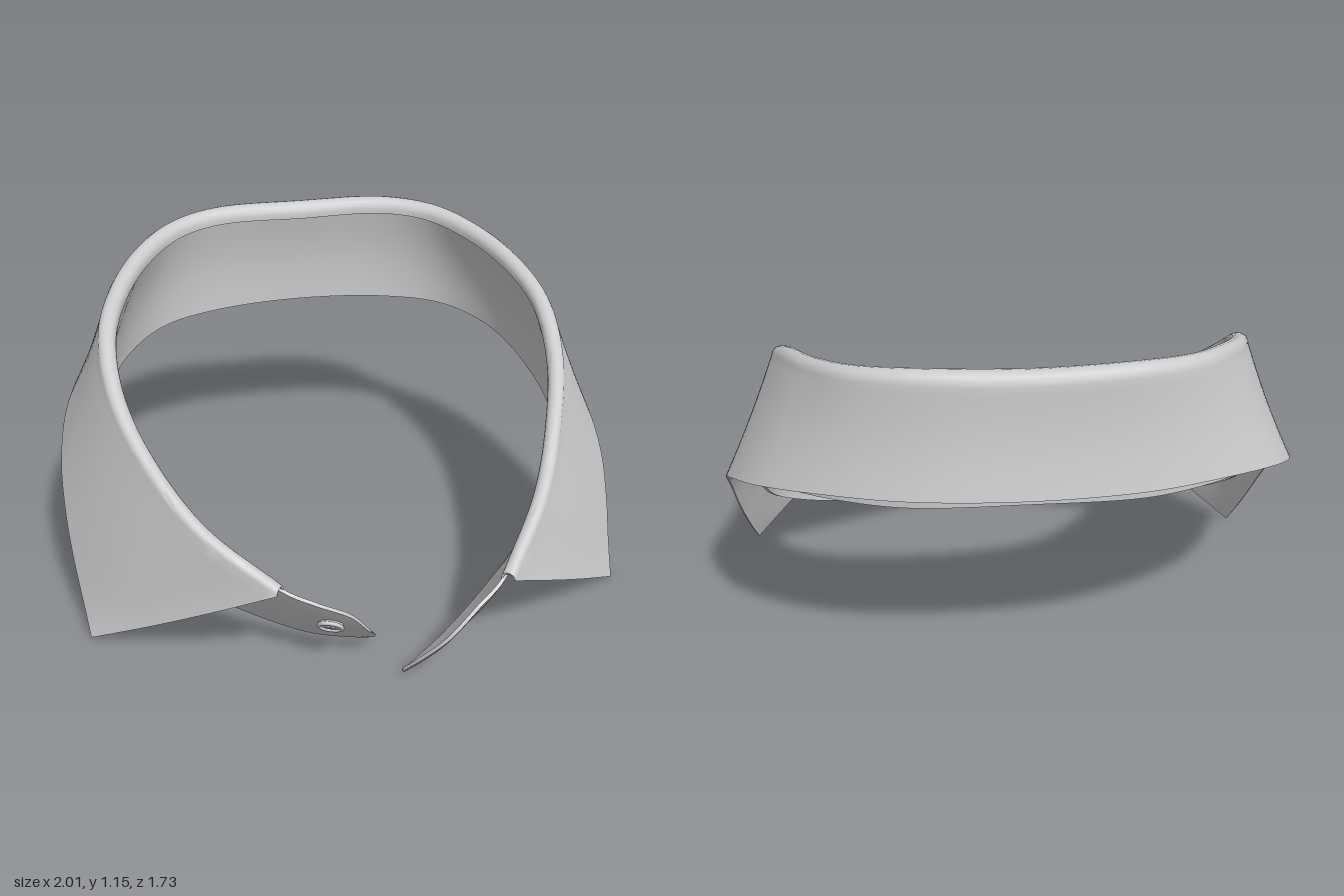
import * as THREE from 'three';
import { toCreasedNormals } from 'three/addons/utils/BufferGeometryUtils.js';

const V = (x, y, z) => new THREE.Vector3(x, y, z);
const material = new THREE.MeshStandardMaterial({ color: 0xcccccc, roughness: 0.8, side: THREE.DoubleSide });

// Stations from the nape to the front: fold line, hem of the leaf, lower edge of the stand
const nape = [
  [[0, 1.15, -0.79], [0, 0.765, -0.865], [0, 0.73, -0.815]],
];
const leftSide = [
  [[0.33, 1.153, -0.765], [0.36, 0.765, -0.835], [0.36, 0.72, -0.785]],
  [[0.51, 1.136, -0.68], [0.62, 0.75, -0.735], [0.58, 0.708, -0.69]],
  [[0.64, 1.10, -0.51], [0.825, 0.695, -0.555], [0.73, 0.665, -0.53]],
  [[0.725, 1.05, -0.29], [0.94, 0.61, -0.325], [0.82, 0.585, -0.33]],
  [[0.768, 0.978, -0.09], [0.99, 0.50, -0.10], [0.865, 0.472, -0.12]],
  [[0.755, 0.86, 0.12], [1.0, 0.375, 0.06], [0.84, 0.34, 0.05]],
  [[0.69, 0.73, 0.32], [0.993, 0.24, 0.165], [0.71, 0.225, 0.215]],
  [[0.57, 0.57, 0.56], [0.975, 0.105, 0.265], [0.54, 0.14, 0.36]],
  [[0.39, 0.41, 0.785], [0.96, 0.005, 0.35], [0.36, 0.065, 0.50]],
];
const rightSide = [
  [[0.33, 1.153, -0.765], [0.36, 0.765, -0.835], [0.36, 0.72, -0.785]],
  [[0.51, 1.136, -0.68], [0.62, 0.75, -0.735], [0.58, 0.708, -0.69]],
  [[0.65, 1.10, -0.51], [0.835, 0.695, -0.56], [0.735, 0.665, -0.53]],
  [[0.748, 1.045, -0.305], [0.95, 0.61, -0.345], [0.83, 0.585, -0.33]],
  [[0.797, 0.978, -0.105], [0.995, 0.50, -0.11], [0.88, 0.472, -0.13]],
  [[0.79, 0.86, 0.10], [0.997, 0.365, 0.05], [0.85, 0.335, 0.03]],
  [[0.725, 0.73, 0.29], [0.985, 0.235, 0.15], [0.72, 0.22, 0.185]],
  [[0.57, 0.56, 0.53], [0.965, 0.10, 0.245], [0.53, 0.135, 0.33]],
  [[0.34, 0.41, 0.71], [0.95, 0.005, 0.32], [0.33, 0.075, 0.44]],
];
// Rounded tabs of the stand beyond the leaf: upper and lower edge
const leftTab = [
  [[0.28, 0.335, 0.835], [0.25, 0.035, 0.585]],
  [[0.18, 0.24, 0.857], [0.15, 0.025, 0.665]],
  [[0.10, 0.12, 0.80], [0.09, 0.02, 0.71]],
  [[0.06, 0.035, 0.74], [0.065, 0.02, 0.73]],
];
const rightTab = [
  [[0.23, 0.35, 0.74], [0.20, 0.05, 0.50]],
  [[0.12, 0.285, 0.735], [0.10, 0.05, 0.54]],
  [[0.04, 0.16, 0.665], [0.03, 0.055, 0.565]],
  [[0.0, 0.075, 0.585], [0.0, 0.06, 0.575]],
];

const toPoints = (rows, mirror) => rows.map(r => r.map(p => V(mirror * p[0], p[1], p[2])));
const stations = [...toPoints(rightSide, -1).reverse(), ...toPoints(nape, 1), ...toPoints(leftSide, 1)];
const spline = points => new THREE.CatmullRomCurve3(points);
const foldLine = spline(stations.map(s => s[0]));
const hemLine = spline(stations.map(s => s[1]));

// Level direction pointing out of the neck opening
function outward(curve, u) {
  const t = curve.getTangent(u);
  return V(t.z, 0, -t.x).normalize();
}
// The roll of the fold gets tighter from the nape to the front ends
const rollRadius = u => 0.037 - 0.017 * Math.abs(2 * u - 1);
// The fall is slightly hollow at the nape and swells towards the points
const fallSwell = u => -0.01 + 0.025 * Math.pow(Math.abs(2 * u - 1), 3);

// Turns a surface rule point(u, v) into thin cloth with a closed rim
function cloth(point, nu, nv, half) {
  const pos = [], index = [];
  for (let i = 0; i <= nu; i++)
    for (let j = 0; j <= nv; j++) pos.push(...point(i / nu, j / nv).toArray());
  const id = (i, j) => i * (nv + 1) + j;
  for (let i = 0; i < nu; i++)
    for (let j = 0; j < nv; j++) {
      const a = id(i, j), b = id(i + 1, j), c = id(i + 1, j + 1), d = id(i, j + 1);
      index.push(a, b, d, b, c, d);
    }
  const sheet = new THREE.BufferGeometry();
  sheet.setAttribute('position', new THREE.Float32BufferAttribute(pos, 3));
  sheet.setIndex(index);
  sheet.computeVertexNormals();
  const n = sheet.attributes.normal.array, count = pos.length / 3;
  const both = [...pos.map((p, k) => p + n[k] * half), ...pos.map((p, k) => p - n[k] * half)];
  const all = [...index];
  for (let k = 0; k < index.length; k += 3)
    all.push(index[k] + count, index[k + 2] + count, index[k + 1] + count);
  const rim = [];
  for (let i = 0; i < nu; i++) rim.push(id(i, 0));
  for (let j = 0; j < nv; j++) rim.push(id(nu, j));
  for (let i = nu; i > 0; i--) rim.push(id(i, nv));
  for (let j = nv; j > 0; j--) rim.push(id(0, j));
  rim.forEach((p, k) => {
    const q = rim[(k + 1) % rim.length];
    all.push(q, p, p + count, q, p + count, q + count);
  });
  const solid = new THREE.BufferGeometry();
  solid.setAttribute('position', new THREE.Float32BufferAttribute(both, 3));
  solid.setIndex(all);
  return toCreasedNormals(solid, 0.9);
}

// Leaf: short inner lip, rolled fold, then the fall down to the hem
function leafPoint(u, v) {
  const r = rollRadius(u), out = outward(foldLine, u);
  const centre = foldLine.getPoint(u);
  centre.y -= r;
  if (v < 0.08) return centre.addScaledVector(out, -r).add(V(0, -r * 0.5 * (1 - v / 0.08), 0));
  if (v < 0.4) {
    const a = Math.PI * (1 - (v - 0.08) / 0.32);
    return centre.addScaledVector(out, r * Math.cos(a)).add(V(0, r * Math.sin(a), 0));
  }
  const s = (v - 0.4) / 0.6;
  return centre.addScaledVector(out, r).lerp(hemLine.getPoint(u), s)
    .addScaledVector(out, fallSwell(u) * Math.sin(Math.PI * s));
}

// Stand: upper edge tucked under the fold, running on into the tabs
const tucked = stations.map((s, i) => {
  const u = i / (stations.length - 1), r = rollRadius(u);
  return s[0].clone().addScaledVector(outward(foldLine, u), -r * 0.7).add(V(0, -r, 0));
});
const tabR = toPoints(rightTab, -1).reverse(), tabL = toPoints(leftTab, 1);
const standTop = spline([...tabR.map(t => t[0]), ...tucked, ...tabL.map(t => t[0])]);
const standBottom = spline([...tabR.map(t => t[1]), ...stations.map(s => s[2]), ...tabL.map(t => t[1])]);
function standPoint(u, v) {
  const top = standTop.getPoint(u), bottom = standBottom.getPoint(u);
  const bulge = 0.04 * top.distanceTo(bottom) * Math.sin(Math.PI * v);
  return top.lerp(bottom, v).addScaledVector(outward(standBottom, u), bulge);
}

function makeButton() {
  const button = new THREE.Group();
  button.name = 'button';
  const add = (name, geometry, x, y, z) => {
    const mesh = new THREE.Mesh(geometry, material);
    mesh.name = name;
    mesh.position.set(x, y, z);
    button.add(mesh);
    return mesh;
  };
  add('buttonDisc', new THREE.CylinderGeometry(0.042, 0.042, 0.012, 32), 0, 0.006, 0);
  add('buttonRim', new THREE.TorusGeometry(0.039, 0.007, 10, 32), 0, 0.012, 0).rotation.x = Math.PI / 2;
  for (const turn of [1, -1])
    add('buttonThread', new THREE.BoxGeometry(0.03, 0.005, 0.006), 0, 0.014, 0).rotation.y = turn * Math.PI / 4;
  return button;
}

export function createModel() {
  const model = new THREE.Group();
  model.name = 'shirtCollar';

  const leaf = new THREE.Mesh(cloth(leafPoint, 144, 25, 0.004), material);
  leaf.name = 'collarLeaf';
  const stand = new THREE.Mesh(cloth(standPoint, 176, 12, 0.006), material);
  stand.name = 'collarStand';

  // Button on the outside of the right tab
  const last = stations.length + 7, u = 2.5 / last, v = 0.38, e = 0.01;
  const at = standPoint(u, v);
  const normal = standPoint(u + e, v).sub(at).cross(standPoint(u, v + e).sub(at)).normalize();
  const button = makeButton();
  button.position.copy(at).addScaledVector(normal, 0.004);
  button.quaternion.setFromUnitVectors(V(0, 1, 0), normal);

  model.add(leaf, stand, button);
  return model;
}
